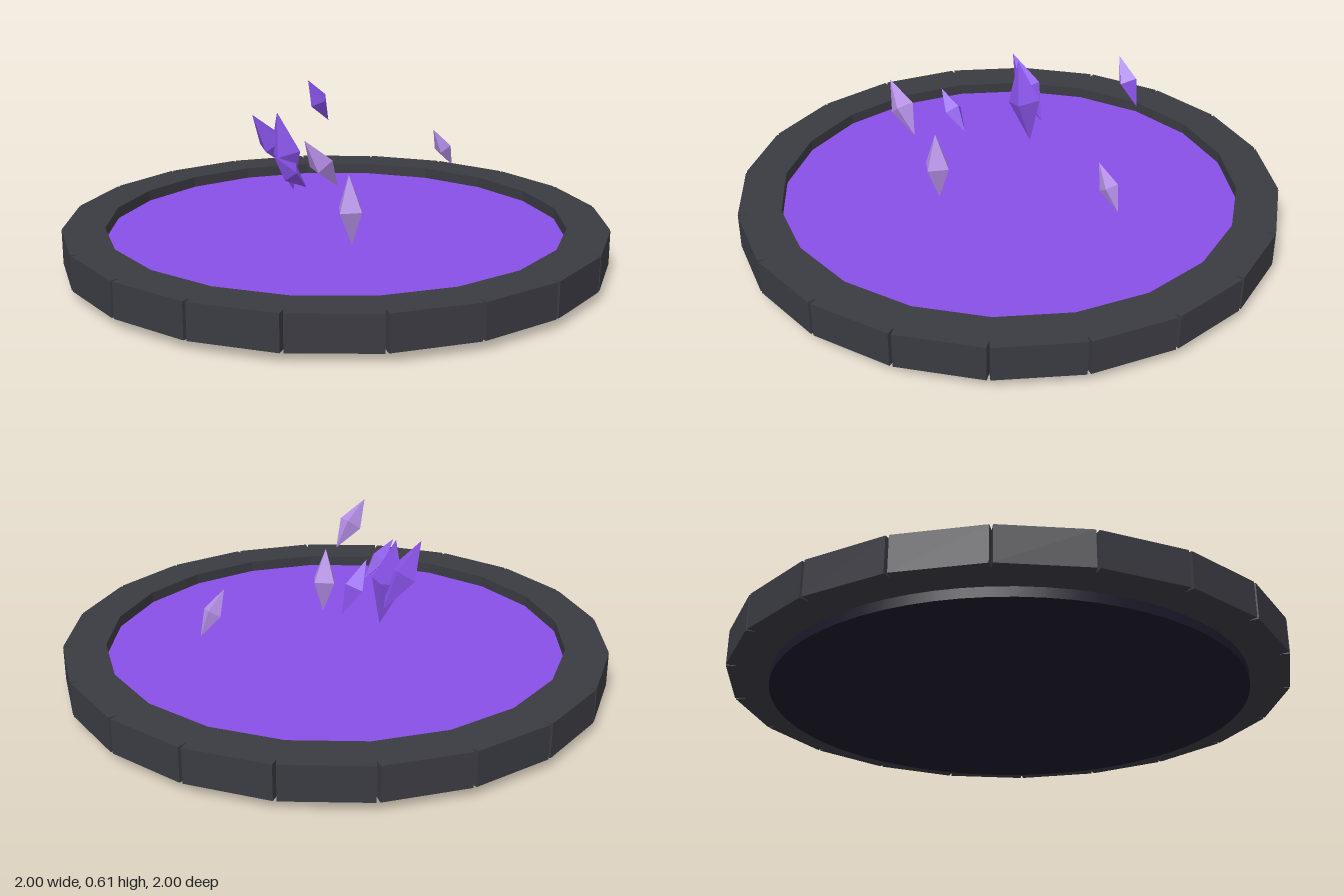
import * as THREE from 'three';

const mat = (name, color) => {
  const m = new THREE.MeshStandardMaterial({ color });
  m.name = name;
  return m;
};

export function createModel() {
  const stone = mat('charcoal stone', 0x3a3a42);
  const dark = mat('dark base', 0x1c1a2a);
  const pool = mat('violet pool', 0x8a50e8);
  const violet = mat('violet crystal', 0x8d55f0);
  const lilac = mat('lilac crystal', 0xb791ea);

  const model = new THREE.Group();
  model.name = 'crystalPool';
  const add = (parent, name, geometry, material) => {
    const mesh = new THREE.Mesh(geometry, material);
    mesh.name = name;
    parent.add(mesh);
    return mesh;
  };

  // Round foot and the glowing surface inside the rim
  add(model, 'base', new THREE.CylinderGeometry(0.86, 0.86, 0.1, 64), dark).position.y = 0.05;
  add(model, 'poolSurface', new THREE.CylinderGeometry(0.87, 0.87, 0.02, 64), pool).position.y = 0.11;

  // Rim of twenty blocks with small notches between their outer corners
  const rim = new THREE.Group();
  rim.name = 'rim';
  model.add(rim);
  const block = new THREE.BoxGeometry(0.305, 0.127, 0.155);
  for (let i = 0; i < 20; i++) {
    const a = (i / 20) * Math.PI * 2;
    const mesh = add(rim, 'rimBlock', block, stone);
    mesh.position.set(Math.sin(a) * 0.9225, 0.0985, Math.cos(a) * 0.9225);
    mesh.rotation.y = a;
  }

  // Floating crystals: centre, vertical and forward reach of the long axis, waist radius, twist
  const crystals = new THREE.Group();
  crystals.name = 'crystals';
  model.add(crystals);
  const shard = new THREE.OctahedronGeometry(1);
  const list = [
    [violet, -0.41, 0.525, -0.207, 0.175, 0.1, 0.043, 0.1],
    [violet, -0.22, 0.433, 0.142, 0.23, 0.168, 0.056, 0.45],
    [violet, -0.175, 0.4, 0.11, 0.31, 0.07, 0.064, 0.5],
    [violet, 0.065, 0.39, 0.247, 0.133, 0.137, 0.038, 0.1],
    [lilac, 0.25, 0.27, 0.117, 0.26, 0.015, 0.055, 0.2],
    [lilac, 0.287, 0.468, 0.268, 0.178, 0.137, 0.046, 0.6],
    [lilac, 0.003, 0.365, -0.52, 0.155, 0.1, 0.035, 0.55],
  ];
  for (const [material, x, y, z, rise, lean, radius, twist] of list) {
    const mesh = add(crystals, 'crystal', shard, material);
    mesh.position.set(x, y, z);
    mesh.scale.set(radius, Math.hypot(rise, lean) / 2, radius);
    mesh.rotation.set(Math.atan2(lean, rise), twist, 0);
  }
  return model;
}
